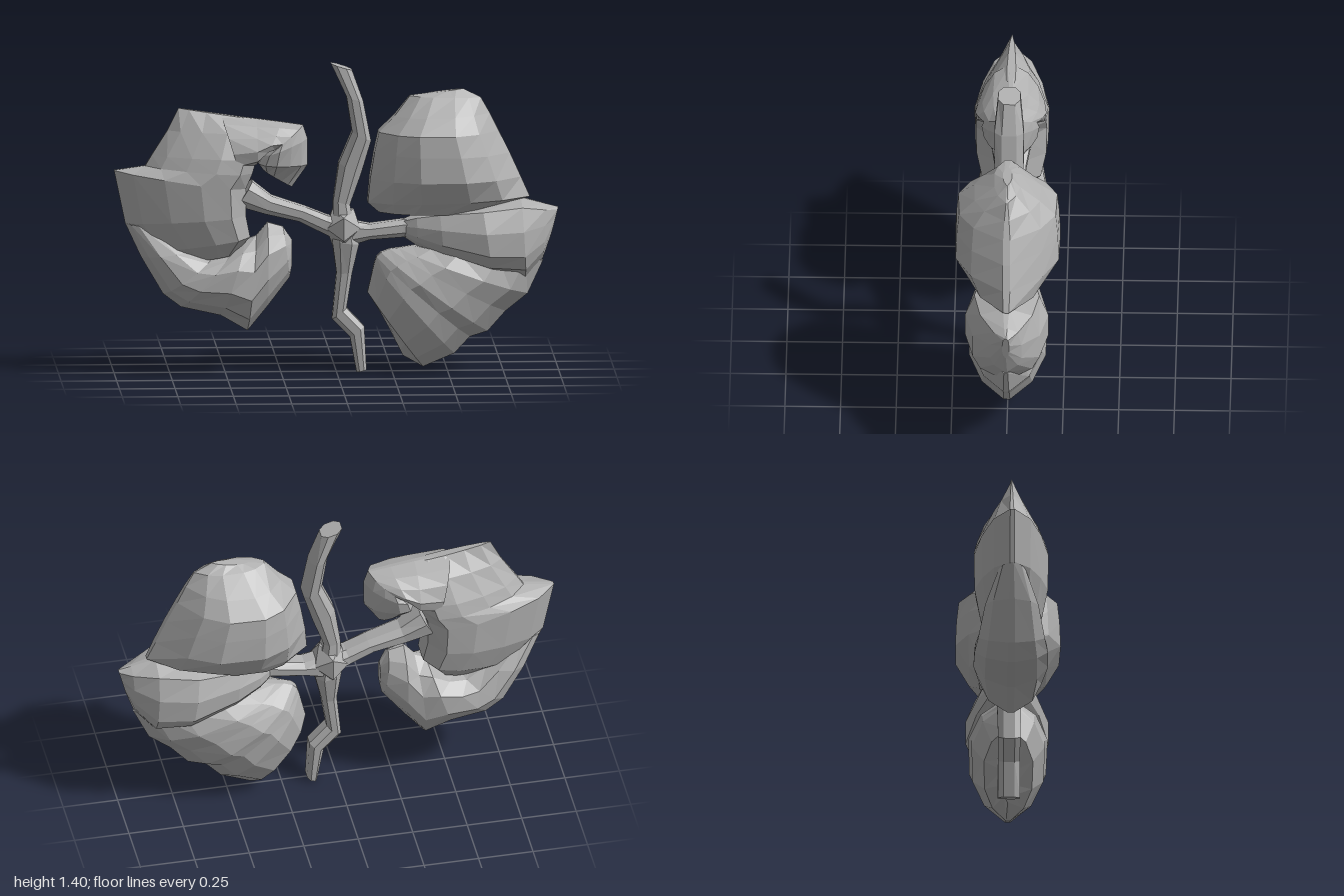
import * as THREE from 'three';

const material = new THREE.MeshStandardMaterial({ color: 0xb0b0b0 });
material.name = 'plain grey';

// Half profiles across a section: [position from -1 to 1, share of the half depth]
const LOBE = [[-1, 0.1], [-0.72, 0.7], [-0.3, 1], [0.3, 0.97], [0.72, 0.64], [1, 0.08]];
const DOME = [[-1, 0.22], [-0.7, 0.76], [-0.35, 1], [0.25, 0.98], [0.65, 0.68], [1, 0.07]];
const BOXY = [[-1, 0.08], [-0.68, 0.78], [-0.35, 1], [0.25, 1], [0.82, 0.78], [1, 0.1]];
const WEDGE = [[-1, 0.06], [-0.72, 0.5], [-0.25, 0.8], [0.3, 1], [0.75, 0.95], [1, 0.4]];
const STEM = [[-1, 0.5], [-0.45, 1], [0.45, 1], [1, 0.5]];

// Faceted solid through sections [ax, ay, bx, by, halfDepth], mirrored front to back
function loft(name, sections, half) {
  const profile = [...half, ...half.map(([t, d]) => [t, -d]).reverse()];
  const n = profile.length, m = sections.length;
  const pos = [], idx = [];
  for (const [ax, ay, bx, by, depth] of sections) {
    for (const [t, d] of profile) {
      const k = (t + 1) / 2;
      pos.push(ax + (bx - ax) * k, ay + (by - ay) * k, d * depth);
    }
  }
  for (let i = 0; i < m - 1; i++) {
    for (let j = 0; j < n; j++) {
      const a = i * n + j, b = i * n + (j + 1) % n;
      idx.push(a, b, b + n, a, b + n, a + n);
    }
  }
  for (let j = 1; j < n - 1; j++) {
    const e = (m - 1) * n;
    idx.push(0, j + 1, j, e, e + j, e + j + 1);
  }
  // Turn the faces outwards whichever way the sections run
  const p = (i) => new THREE.Vector3().fromArray(pos, i * 3);
  let volume = 0;
  for (let i = 0; i < idx.length; i += 3) {
    volume += p(idx[i]).dot(p(idx[i + 1]).cross(p(idx[i + 2])));
  }
  if (volume < 0) idx.reverse();
  const indexed = new THREE.BufferGeometry();
  indexed.setAttribute('position', new THREE.Float32BufferAttribute(pos, 3));
  indexed.setIndex(idx);
  const geometry = indexed.toNonIndexed();
  geometry.computeVertexNormals();
  const mesh = new THREE.Mesh(geometry, material);
  mesh.name = name;
  return mesh;
}

export function createModel() {
  const model = new THREE.Group();
  model.name = 'lobedCluster';

  // Left side: three lobes fanned around the branch
  model.add(loft('upperLeftLobe', [
    [0.19, 0.725, 0.66, 0.72, 0.13], [0.14, 0.77, 0.87, 0.79, 0.175],
    [0.15, 0.88, 0.83, 0.88, 0.237], [0.17, 1.0, 0.78, 0.99, 0.232],
    [0.19, 1.09, 0.73, 1.09, 0.222], [0.26, 1.16, 0.69, 1.17, 0.15],
    [0.33, 1.25, 0.65, 1.24, 0.06], [0.40, 1.26, 0.57, 1.28, 0.02],
  ], DOME));
  model.add(loft('middleLeftLobe', [
    [0.30, 0.61, 0.30, 0.69, 0.04], [0.36, 0.57, 0.36, 0.715, 0.09],
    [0.48, 0.51, 0.46, 0.74, 0.14], [0.70, 0.43, 0.65, 0.765, 0.187],
    [0.85, 0.41, 0.83, 0.785, 0.15], [0.93, 0.51, 0.94, 0.755, 0.07],
    [0.965, 0.61, 0.998, 0.74, 0.015],
  ], BOXY));
  model.add(loft('lowerLeftLobe', [
    [0.34, 0.57, 0.93, 0.50, 0.11], [0.28, 0.56, 0.86, 0.35, 0.16],
    [0.24, 0.555, 0.76, 0.27, 0.165], [0.20, 0.54, 0.68, 0.18, 0.178],
    [0.18, 0.52, 0.60, 0.155, 0.165], [0.17, 0.49, 0.53, 0.08, 0.165],
    [0.14, 0.36, 0.39, 0.02, 0.11], [0.20, 0.27, 0.30, 0.07, 0.03],
  ], LOBE));

  // Right side: broad lobe, hooked end and curled lower lobe
  model.add(loft('upperRightLobe', [
    [-0.71, 1.20, -0.38, 1.15, 0.02], [-0.76, 1.10, -0.35, 1.09, 0.095],
    [-0.83, 0.99, -0.36, 0.98, 0.15], [-0.86, 0.94, -0.38, 0.91, 0.165],
    [-1.0, 0.92, -0.41, 0.84, 0.168], [-0.95, 0.68, -0.41, 0.72, 0.165],
    [-0.84, 0.55, -0.39, 0.62, 0.14], [-0.68, 0.50, -0.46, 0.54, 0.08],
  ], WEDGE));
  model.add(loft('rightHook', [
    [-0.52, 1.17, -0.44, 0.92, 0.15], [-0.36, 1.15, -0.36, 0.95, 0.16],
    [-0.25, 1.135, -0.32, 1.00, 0.15], [-0.15, 1.12, -0.30, 1.01, 0.12],
    [-0.13, 1.06, -0.33, 0.99, 0.13], [-0.13, 0.94, -0.35, 0.95, 0.12],
    [-0.20, 0.84, -0.33, 0.92, 0.06],
  ], WEDGE));
  model.add(loft('lowerRightLobe', [
    [-0.95, 0.68, -0.78, 0.66, 0.06], [-0.88, 0.53, -0.64, 0.56, 0.12],
    [-0.78, 0.36, -0.55, 0.53, 0.15], [-0.70, 0.30, -0.47, 0.55, 0.165],
    [-0.52, 0.26, -0.41, 0.60, 0.168], [-0.40, 0.19, -0.36, 0.62, 0.14],
    [-0.31, 0.30, -0.31, 0.68, 0.12], [-0.21, 0.43, -0.24, 0.66, 0.07],
    [-0.20, 0.48, -0.20, 0.60, 0.03],
  ], LOBE));

  // Bent central trunk
  model.add(loft('trunk', [
    [-0.025, 1.40, 0.07, 1.37, 0.05], [0.045, 1.25, 0.12, 1.23, 0.066],
    [0.07, 1.09, 0.155, 1.05, 0.066], [0.01, 0.95, 0.11, 0.90, 0.062],
    [-0.015, 0.78, 0.06, 0.76, 0.06], [-0.02, 0.60, 0.10, 0.58, 0.08],
    [0.0, 0.45, 0.07, 0.45, 0.055], [-0.02, 0.24, 0.045, 0.29, 0.05],
    [0.06, 0.16, 0.125, 0.205, 0.05], [0.09, 0.0, 0.135, 0.01, 0.05],
  ], STEM));

  // Side branches
  model.add(loft('leftBranch', [
    [0.05, 0.57, 0.05, 0.69, 0.07], [0.15, 0.60, 0.15, 0.67, 0.06],
    [0.30, 0.61, 0.30, 0.69, 0.05], [0.42, 0.61, 0.42, 0.70, 0.05],
  ], STEM));
  model.add(loft('rightBranch', [
    [0.04, 0.58, 0.05, 0.69, 0.07], [-0.07, 0.635, -0.04, 0.71, 0.06],
    [-0.17, 0.685, -0.14, 0.75, 0.06], [-0.32, 0.72, -0.29, 0.80, 0.07],
    [-0.45, 0.76, -0.38, 0.87, 0.09],
  ], STEM));

  // Knot where the branches meet
  const hub = new THREE.IcosahedronGeometry(0.1, 0);
  hub.scale(0.9, 1, 1.15);
  const knot = new THREE.Mesh(hub, material);
  knot.name = 'knot';
  knot.position.set(0.03, 0.655, 0);
  model.add(knot);

  return model;
}
